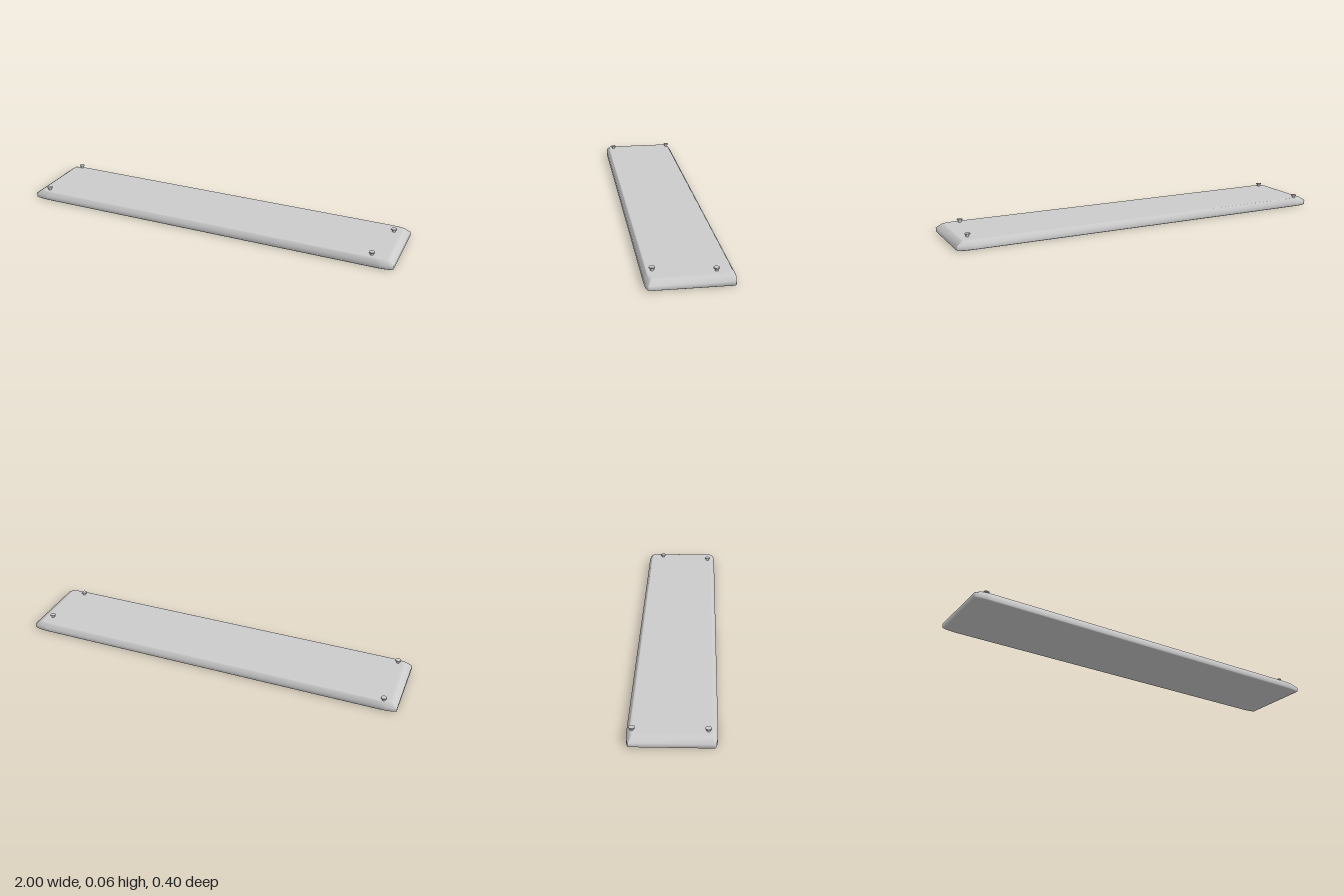
import * as THREE from 'three';

const material = new THREE.MeshStandardMaterial({ color: 0xcccccc });

// Rectangle outline with elliptical corners, running from +x towards +z
function outline(halfX, halfZ, cornerX, cornerZ, steps = 5) {
  const points = [];
  for (let q = 0; q < 4; q++) {
    const sx = q === 0 || q === 3 ? 1 : -1;
    const sz = q < 2 ? 1 : -1;
    for (let s = 0; s <= steps; s++) {
      const a = (q + s / steps) * Math.PI / 2;
      points.push([
        sx * (halfX - cornerX) + Math.cos(a) * cornerX,
        sz * (halfZ - cornerZ) + Math.sin(a) * cornerZ,
      ]);
    }
  }
  return points;
}

// Skin stacked outlines: each ring is [y, halfX, halfZ, cornerX, cornerZ]
function loft(rings) {
  const positions = [], index = [];
  let n = 0;
  rings.forEach(([y, ...size]) => {
    const points = outline(...size);
    n = points.length;
    points.forEach(([x, z]) => positions.push(x, y, z));
  });
  for (let j = 0; j < rings.length - 1; j++) {
    for (let i = 0; i < n; i++) {
      const a = j * n + i, b = j * n + (i + 1) % n;
      index.push(a, a + n, b, b, a + n, b + n);
    }
  }
  const geometry = new THREE.BufferGeometry();
  geometry.setAttribute('position', new THREE.Float32BufferAttribute(positions, 3));
  geometry.setIndex(index);
  geometry.computeVertexNormals();
  return geometry;
}

function createNail(x, z) {
  const nail = new THREE.Group();
  nail.name = 'nail';
  const shank = new THREE.Mesh(new THREE.CylinderGeometry(0.008, 0.008, 0.026, 16), material);
  shank.name = 'nailShank';
  shank.position.y = 0.043;
  const head = new THREE.Mesh(new THREE.CylinderGeometry(0.014, 0.014, 0.005, 16), material);
  head.name = 'nailHead';
  head.position.y = 0.0585;
  nail.add(shank, head);
  nail.position.set(x, 0, z);
  return nail;
}

export function createModel() {
  const model = new THREE.Group();
  model.name = 'nailedPlank';

  // Plank with softly chamfered edges and worn corners
  const plank = new THREE.Mesh(loft([
    [0, 0, 0, 0, 0],
    [0, 0.98, 0.188, 0.08, 0.014],
    [0, 0.993, 0.196, 0.08, 0.015],
    [0.004, 1, 0.2, 0.08, 0.015],
    [0.024, 1, 0.2, 0.08, 0.015],
    [0.043, 0.973, 0.187, 0.08, 0.015],
    [0.045, 0.965, 0.183, 0.08, 0.015],
    [0.045, 0.95, 0.175, 0.08, 0.014],
    [0.045, 0, 0, 0, 0],
  ]), material);
  plank.name = 'plank';
  model.add(plank);

  // Loosely placed nails near the four corners
  [[-0.93, -0.175], [-0.93, 0.158], [0.885, 0.158], [0.927, -0.117]]
    .forEach(([x, z]) => model.add(createNail(x, z)));

  return model;
}
